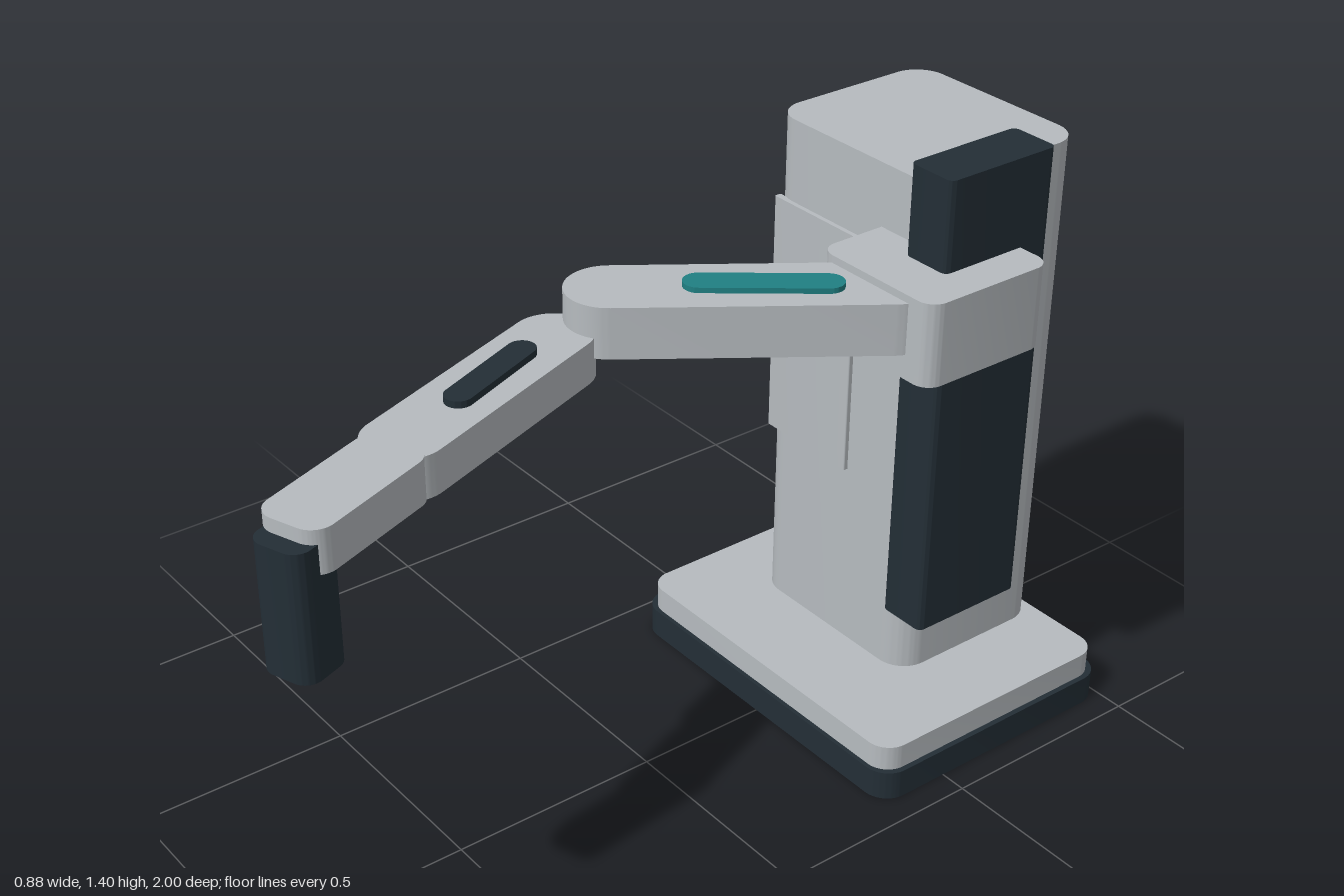
import * as THREE from 'three';
import { toCreasedNormals } from 'three/addons/utils/BufferGeometryUtils.js';

const material = (name, color) => {
  const m = new THREE.MeshStandardMaterial({ color });
  m.name = name;
  return m;
};

// Rounded rectangle centred on the origin
function roundedRect(w, d, r) {
  const x = w / 2 - r, y = d / 2 - r, q = Math.PI / 2;
  const s = new THREE.Shape();
  s.absarc(x, y, r, 0, q);
  s.absarc(-x, y, r, q, 2 * q);
  s.absarc(-x, -y, r, 2 * q, 3 * q);
  s.absarc(x, -y, r, 3 * q, 4 * q);
  s.closePath();
  return s;
}

// Upright slab with a rounded plan, between two heights, turned about y
function slab(name, mat, [w, d, r], [x, z], y0, y1, turn = 0) {
  const extruded = new THREE.ExtrudeGeometry(roundedRect(w, d, r), {
    depth: y1 - y0, bevelEnabled: false, curveSegments: 10,
  });
  extruded.rotateX(-Math.PI / 2);
  const mesh = new THREE.Mesh(toCreasedNormals(extruded, 0.6), mat);
  mesh.name = name;
  mesh.position.set(x, y0, z);
  mesh.rotation.y = turn;
  return mesh;
}

// Slab with round ends, running between two points of the plan
function link(name, mat, a, b, r, y0, y1) {
  const dx = b[0] - a[0], dz = b[1] - a[1];
  const size = [2 * r, Math.hypot(dx, dz) + 2 * r, r * 0.999];
  const mid = [(a[0] + b[0]) / 2, (a[1] + b[1]) / 2];
  return slab(name, mat, size, mid, y0, y1, Math.atan2(dx, dz));
}

export function createModel() {
  const grey = material('light grey', 0xb6bbbf);
  const dark = material('dark slate', 0x232e36);
  const teal = material('teal', 0x208083);
  const wristTurn = 0.35;

  const model = new THREE.Group();
  model.name = 'armStation';
  model.add(
    // Base and column
    slab('baseSkirt', dark, [0.875, 0.68, 0.06], [0, -0.66], 0, 0.07),
    slab('basePlate', grey, [0.85, 0.66, 0.055], [0, -0.66], 0.07, 0.13),
    slab('column', grey, [0.497, 0.428, 0.07], [-0.026, -0.769], 0.13, 1.34),
    slab('accessPanel', grey, [0.265, 0.016, 0.003], [-0.119, -0.552], 0.575, 1.15),
    // Lift rail and carriage
    slab('liftRail', dark, [0.12, 0.29, 0.015], [0.265, -0.65], 0.325, 1.4),
    slab('carriage', grey, [0.335, 0.33, 0.04], [0.247, -0.55], 1.01, 1.197),
    // Arm links with their inlays
    link('upperArm', grey, [0.26, -0.42], [-0.07, 0.04], 0.095, 1.065, 1.18),
    link('upperArmInlay', teal, [0.195, -0.31], [0.035, -0.105], 0.034, 1.18, 1.192),
    link('forearm', grey, [-0.085, 0.17], [0.08, 0.625], 0.085, 1.018, 1.11),
    link('forearmInlay', dark, [-0.05, 0.27], [0.03, 0.47], 0.03, 1.11, 1.125),
    // Wrist and tool
    slab('wrist', grey, [0.15, 0.335, 0.045], [0.15, 0.795], 1.017, 1.111, wristTurn),
    slab('tool', dark, [0.12, 0.12, 0.035], [0.203, 0.933], 0.8, 1.08, wristTurn),
  );
  return model;
}
